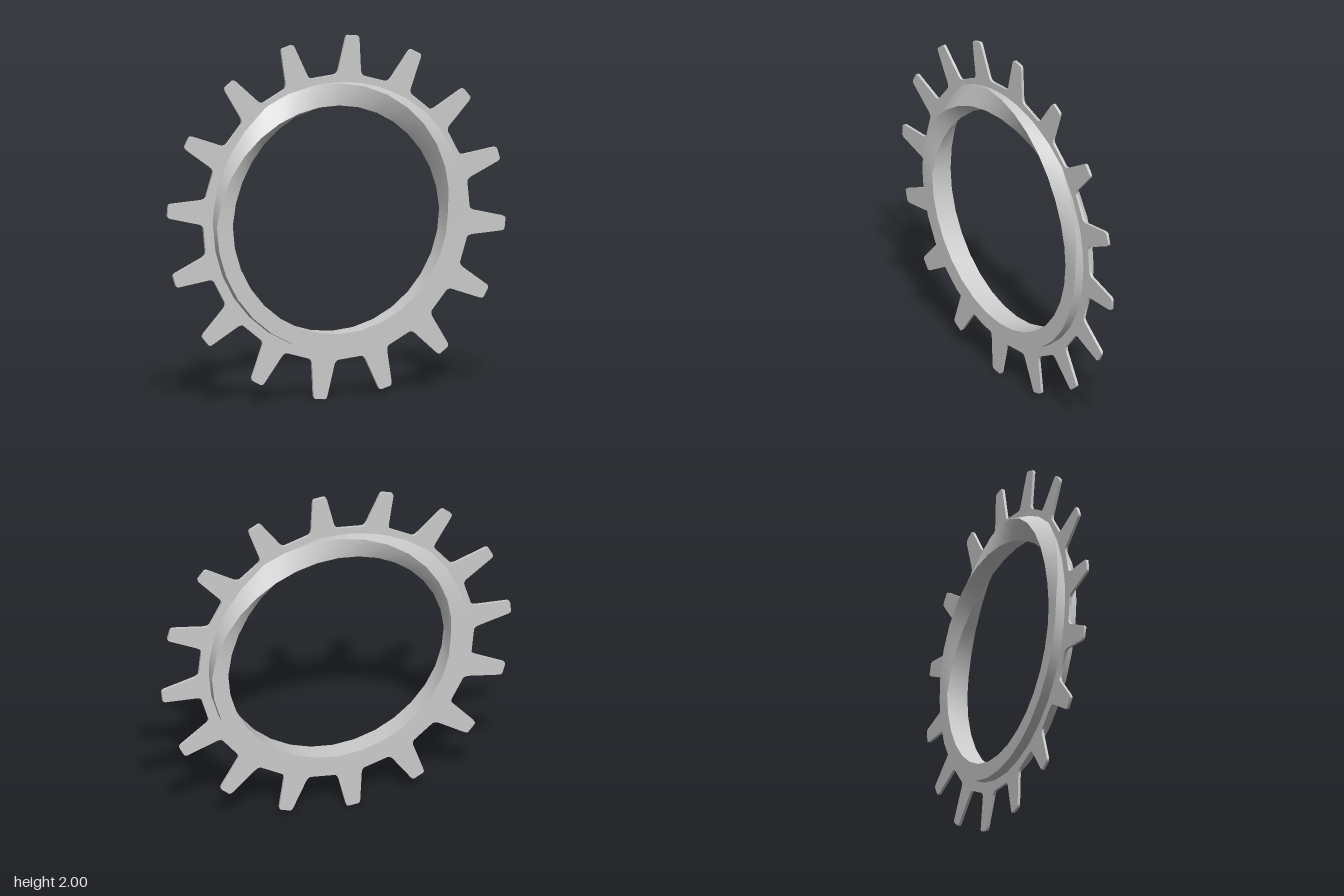
import * as THREE from 'three';
import { toCreasedNormals } from 'three/addons/utils/BufferGeometryUtils.js';

const material = new THREE.MeshStandardMaterial({ color: 0xcccccc });

// Toothed plate: one tooth outline repeated around the circle, with a round hole
function toothedPlate() {
  const teeth = 16, step = (Math.PI * 2) / teeth;
  const first = Math.PI / 2 - THREE.MathUtils.degToRad(5.55);
  const thickness = 0.015;
  const shape = new THREE.Shape();
  for (let i = 0; i < teeth; i++) {
    const a = first + i * step;
    // r runs along the tooth, w across it (counter-clockwise positive)
    const at = (r, w) => [
      r * Math.cos(a) - w * Math.sin(a),
      r * Math.sin(a) + w * Math.cos(a),
    ];
    if (i === 0) shape.moveTo(...at(0.782, -0.087));
    else shape.lineTo(...at(0.782, -0.087));
    shape.quadraticCurveTo(...at(0.788, -0.07), ...at(0.815, -0.066)); // root fillet
    shape.lineTo(...at(0.978, -0.042));
    shape.quadraticCurveTo(...at(1.0, -0.039), ...at(1.001, -0.026)); // tip corner
    shape.lineTo(...at(1.001, 0.026));
    shape.quadraticCurveTo(...at(1.0, 0.039), ...at(0.978, 0.042));
    shape.lineTo(...at(0.815, 0.066));
    shape.quadraticCurveTo(...at(0.788, 0.07), ...at(0.782, 0.087));
  }
  shape.closePath();
  const hole = new THREE.Path();
  hole.absarc(0, 0, 0.685, 0, Math.PI * 2, true);
  shape.holes.push(hole);
  const geometry = new THREE.ExtrudeGeometry(shape, {
    depth: thickness, bevelEnabled: false, curveSegments: 5,
  });
  geometry.translate(0, 0, -thickness / 2);
  return toCreasedNormals(geometry, 0.6);
}

// Rectangular ring whose section makes a half turn over the upper half
function twistedRing() {
  const segments = 32, radius = 0.683, halfR = 0.047, halfZ = 0.061;
  const corners = [[1, -1], [1, 1], [-1, 1], [-1, -1]];
  const corner = (i, k) => {
    const angle = (i / segments) * Math.PI * 2;
    const twist = Math.min(angle, Math.PI);
    const a = corners[k % 4][0] * halfR, b = corners[k % 4][1] * halfZ;
    const r = radius + a * Math.cos(twist) + b * Math.sin(twist);
    const z = -a * Math.sin(twist) + b * Math.cos(twist);
    return [r * Math.cos(angle), r * Math.sin(angle), z];
  };
  const positions = [];
  for (let i = 0; i < segments; i++) {
    for (let k = 0; k < 4; k++) {
      const A = corner(i, k), B = corner(i, k + 1);
      const C = corner(i + 1, k + 1), D = corner(i + 1, k);
      positions.push(...A, ...D, ...C, ...A, ...C, ...B);
    }
  }
  const geometry = new THREE.BufferGeometry();
  geometry.setAttribute('position', new THREE.Float32BufferAttribute(positions, 3));
  return toCreasedNormals(geometry, 0.6);
}

export function createModel() {
  const model = new THREE.Group();
  model.name = 'toothedRing';
  const add = (name, geometry) => {
    const mesh = new THREE.Mesh(geometry, material);
    mesh.name = name;
    mesh.position.y = 1;
    model.add(mesh);
  };
  add('toothedPlate', toothedPlate());
  add('twistedRing', twistedRing());
  return model;
}
